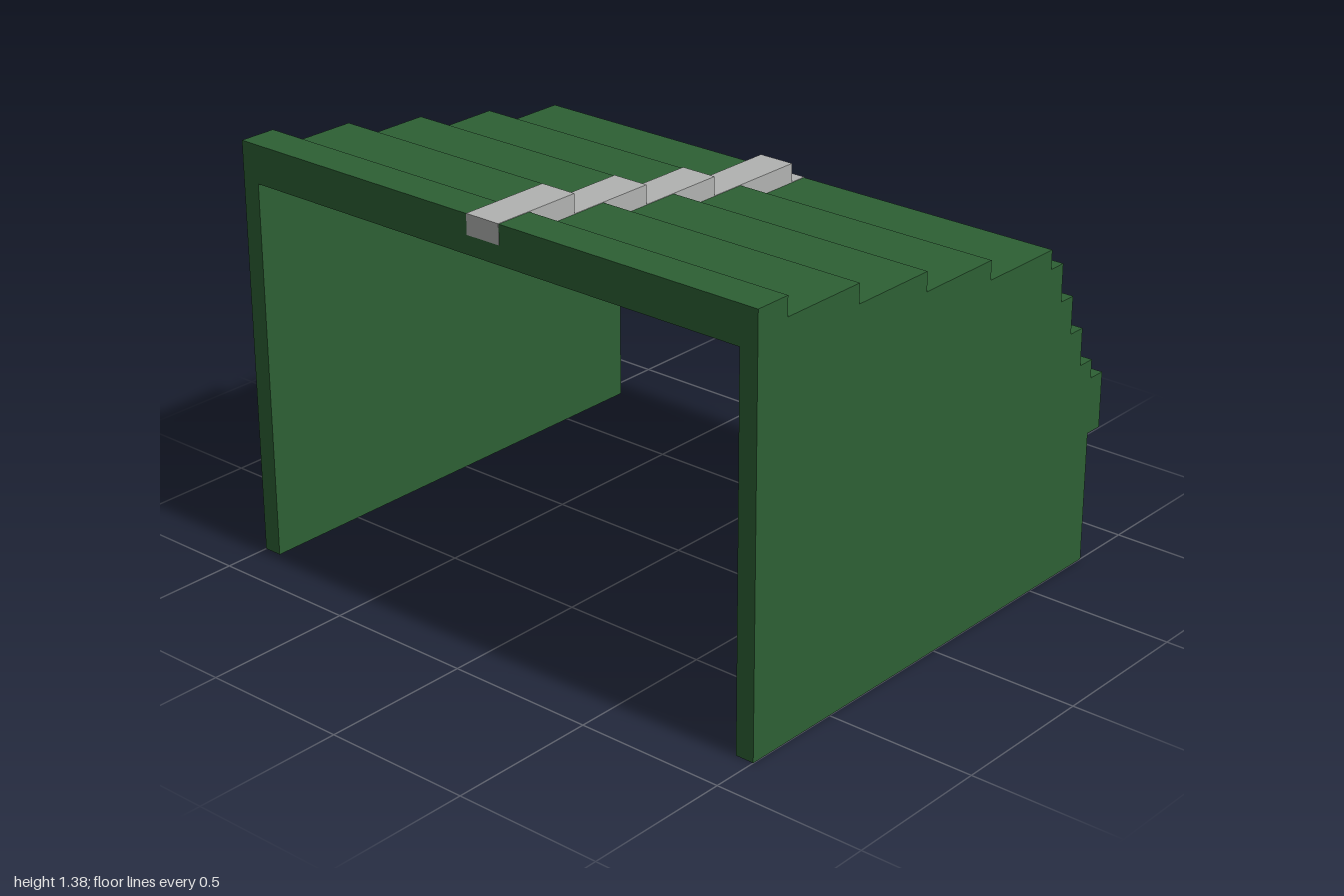
import * as THREE from 'three';

const U = 1 / 16;        // one block of the grid
const X0 = -13.5 * U;    // back edge of the roof

// Stepped top line of the roof, in blocks, from the high edge to the eave
const topLine = [
  [0, 22], [2, 22], [2, 21], [7, 21], [7, 20], [12, 20], [12, 19], [17, 19], [17, 18],
  [22, 18], [22, 17], [23, 17], [23, 15], [24, 15], [24, 13], [25, 13], [25, 11],
  [26, 11], [26, 10], [27, 10], [27, 7], [26, 7],
];
// Stepped underside, from the eave back to the high edge
const underside = [
  [26, 9], [25, 9], [25, 10], [24, 10], [24, 12], [23, 12], [23, 14], [22, 14], [22, 16],
  [18, 16], [18, 17], [13, 17], [13, 18], [8, 18], [8, 19], [3, 19], [3, 20], [0, 20],
];

// Extrude a block outline between two z positions (in blocks)
function extrude(points, z0, z1) {
  const shape = new THREE.Shape(points.map(([i, j]) => new THREE.Vector2(X0 + i * U, j * U)));
  const geo = new THREE.ExtrudeGeometry(shape, { depth: (z1 - z0) * U, bevelEnabled: false });
  return geo.translate(0, 0, z0 * U);
}

export function createModel() {
  const group = new THREE.Group();
  const green = new THREE.MeshStandardMaterial({ color: 0x2d6034 });
  green.name = 'green';
  const grey = new THREE.MeshStandardMaterial({ color: 0xb1b2b1 });
  grey.name = 'grey';

  const add = (name, geo, mat) => {
    const mesh = new THREE.Mesh(geo, mat);
    mesh.name = name;
    group.add(mesh);
  };

  // Stepped roof shell between the side walls
  add('roof', extrude([...topLine, ...underside], -15, 15), green);

  // Solid side walls that follow the roof line
  const wall = [...topLine, [26, 0], [0, 0]];
  add('frontWall', extrude(wall, 15, 16), green);
  add('backWall', extrude(wall, -16, -15), green);

  // Stripe of overlapping slabs down the roof: start, end, base level
  const slabs = [[0, 5, 21], [5, 10, 20], [10, 15, 19], [15, 21, 18], [21, 22, 17]];
  const lift = 0.003; // keeps the slabs just clear of the roof faces
  for (const [a, b, j] of slabs) {
    const geo = new THREE.BoxGeometry((b - a) * U + lift, U + lift, 2 * U);
    geo.translate(X0 + (a + b) / 2 * U, (j + 0.5) * U, 0);
    add('stripeSlab', geo, grey);
  }
  return group;
}
